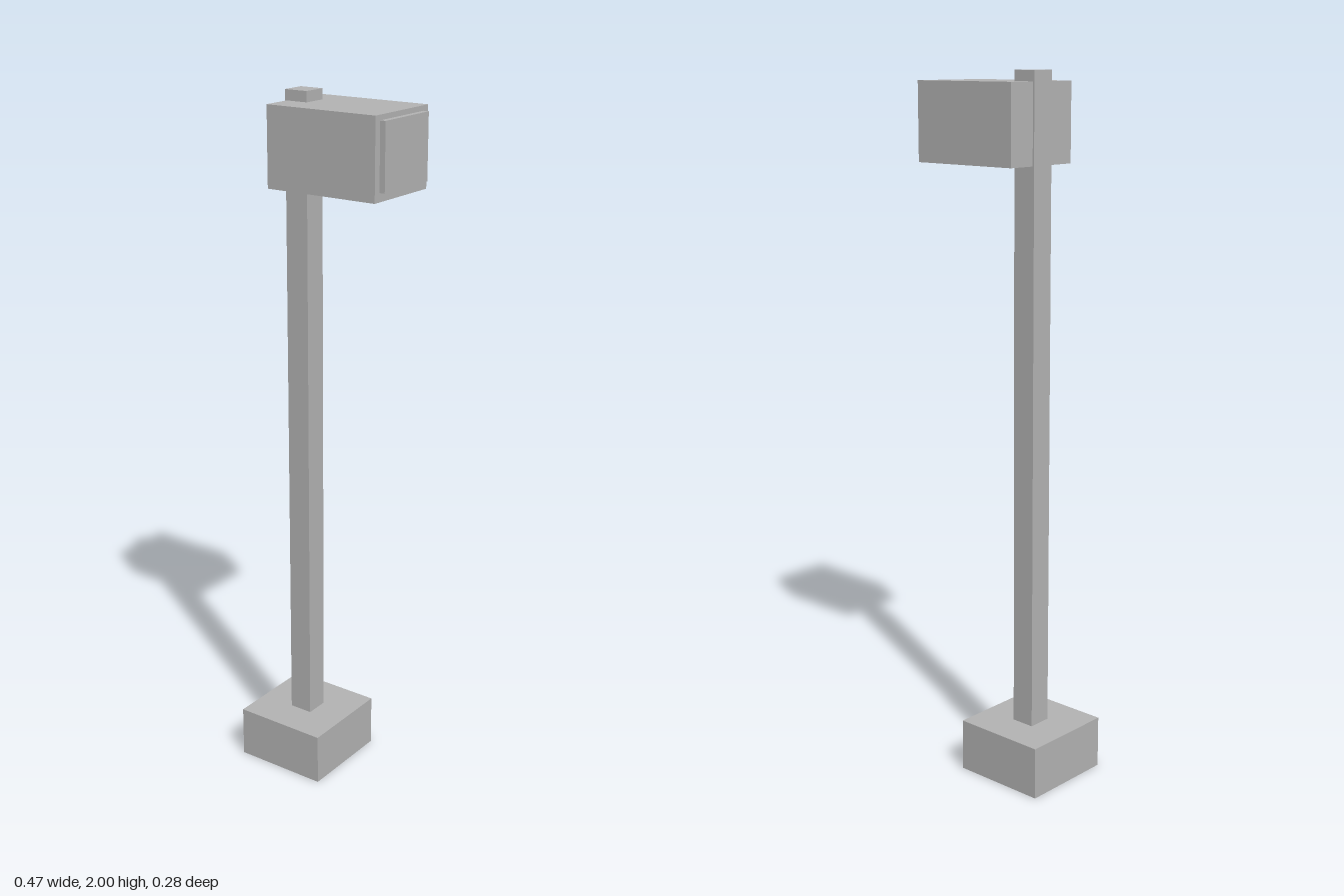
import * as THREE from 'three';

export function createModel() {
  const group = new THREE.Group();
  const grey = new THREE.MeshStandardMaterial({ color: 0xb2b2b2 });
  grey.name = 'grey';

  // Box given by its extents in x and y and its depth, centred on z = 0
  function block(name, x0, x1, y0, y1, depth) {
    const mesh = new THREE.Mesh(new THREE.BoxGeometry(x1 - x0, y1 - y0, depth), grey);
    mesh.position.set((x0 + x1) / 2, (y0 + y1) / 2, 0);
    mesh.name = name;
    group.add(mesh);
  }

  block('base', -0.234, 0.047, 0, 0.151, 0.281);
  // Post runs up through the back of the head and pokes out on top
  block('post', -0.128, -0.058, 0.151, 2, 0.07);
  block('head', -0.123, 0.217, 1.752, 1.971, 0.242);
  // Raised panel on the end of the head
  block('facePanel', 0.217, 0.233, 1.776, 1.957, 0.2);

  return group;
}
